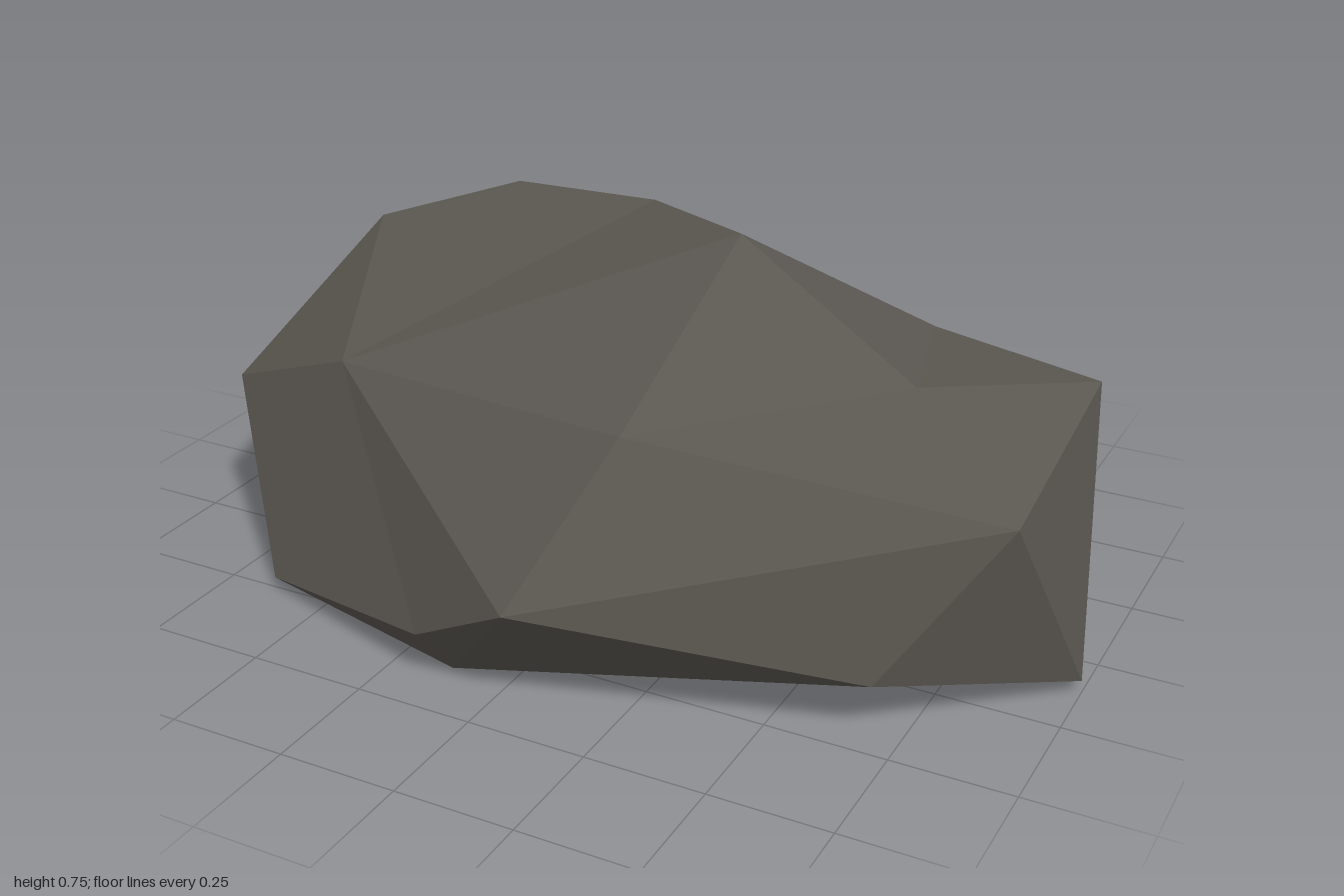
import * as THREE from 'three';

// Corner points of the boulder, grouped by height
const corners = {
  // upper cap
  R: [0.18, 0.755, -0.05], Q: [-0.12, 0.72, -0.25], P: [-0.48, 0.70, -0.28], O: [-0.79, 0.60, -0.18],
  U: [-0.53, 0.49, 0.36], L: [0.20, 0.54, 0.51], T: [0.62, 0.56, 0.09], S: [0.52, 0.53, -0.29],
  // widest rim
  A: [-0.59, 0.32, -0.75], B: [-0.26, 0.43, -0.67], C: [0.20, 0.30, -0.52], E: [0.91, 0.53, -0.17],
  G: [0.91, 0.43, 0.32], I: [0.08, 0.25, 0.75], M: [-0.88, 0.35, 0.26], N: [-1.0, 0.40, -0.27],
  // lower rim
  D: [0.58, 0.10, -0.46], V: [0.905, 0.055, -0.19], F: [1.0, 0.03, 0.12], H: [0.70, 0.125, 0.47],
  J: [-0.16, 0.11, 0.68], K: [-0.63, 0.03, 0.51],
  // ground contact
  W: [-0.74, 0, -0.53], X: [-0.27, 0, -0.59], Y: [-0.74, 0, -0.11], Z: [-0.13, 0, 0.60], a: [0.50, 0, 0],
};

// Facet fans: the first corner is the hub, the rest run around it
const fans = [
  'RQSTLUQ', 'QUOPCS', 'POABC', 'TLG', 'ESTGFVDCS', 'GFHIL',
  'ULIJKMO', 'NOMYWAO', 'MKY', 'XWABCD', 'ZHIJK', 'aFHZKYWXDVF',
];

function facetGeometry() {
  const core = new THREE.Vector3(0, 0.3, 0);
  const positions = [];
  for (const fan of fans) {
    const [hub, ...ring] = [...fan].map((key) => new THREE.Vector3(...corners[key]));
    for (let i = 0; i + 1 < ring.length; i++) {
      const tri = new THREE.Triangle(hub, ring[i], ring[i + 1]);
      // turn every facet outward from the core
      const outward = tri.getNormal(new THREE.Vector3()).dot(hub.clone().sub(core)) > 0;
      const order = outward ? [tri.a, tri.b, tri.c] : [tri.a, tri.c, tri.b];
      for (const p of order) positions.push(p.x, p.y, p.z);
    }
  }
  const geometry = new THREE.BufferGeometry();
  geometry.setAttribute('position', new THREE.Float32BufferAttribute(positions, 3));
  geometry.computeVertexNormals(); // unshared corners give flat facets
  return geometry;
}

export function createModel() {
  const group = new THREE.Group();
  group.name = 'rock';
  const stone = new THREE.MeshStandardMaterial({ color: 0x5a5650 });
  stone.name = 'dark stone';
  const boulder = new THREE.Mesh(facetGeometry(), stone);
  boulder.name = 'boulder';
  group.add(boulder);
  return group;
}
